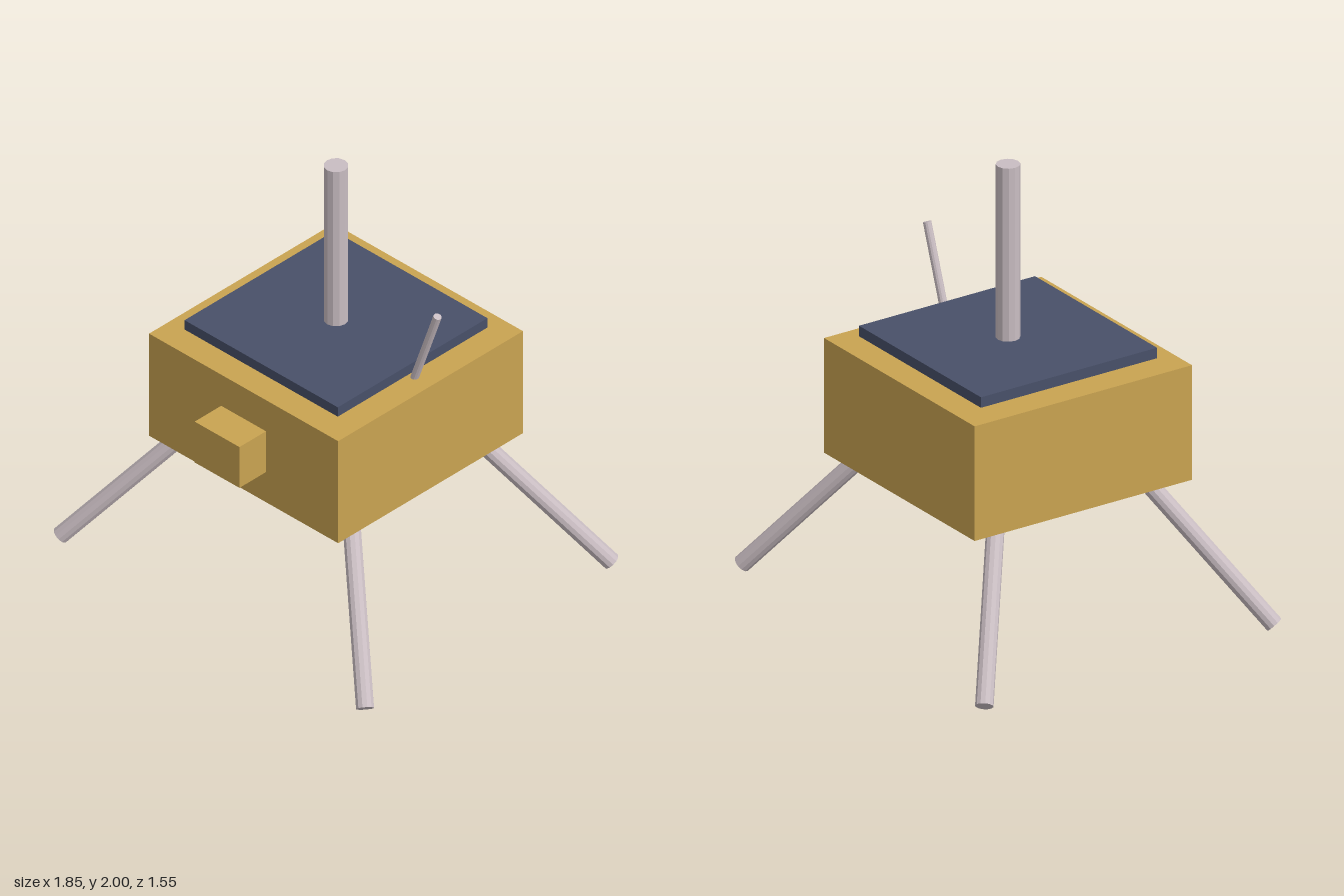
import * as THREE from 'three';

const gold = new THREE.MeshStandardMaterial({ name: 'gold foil', color: 0xc9a351, flatShading: true });
const navy = new THREE.MeshStandardMaterial({ name: 'navy panel', color: 0x485069, flatShading: true });
const metal = new THREE.MeshStandardMaterial({ name: 'pale metal', color: 0xc9bdc2, flatShading: true });

function box(name, material, size, position) {
  const mesh = new THREE.Mesh(new THREE.BoxGeometry(...size), material);
  mesh.name = name;
  mesh.position.set(...position);
  return mesh;
}

// Straight rod between two points
function rod(name, from, to, radius, sides = 12) {
  const a = new THREE.Vector3(...from);
  const b = new THREE.Vector3(...to);
  const axis = b.clone().sub(a);
  const mesh = new THREE.Mesh(new THREE.CylinderGeometry(radius, radius, axis.length(), sides), metal);
  mesh.name = name;
  mesh.position.copy(a).add(b).multiplyScalar(0.5);
  mesh.quaternion.setFromUnitVectors(new THREE.Vector3(0, 1, 0), axis.normalize());
  return mesh;
}

export function createModel() {
  const model = new THREE.Group();
  model.name = 'lander';

  // Body, front instrument box and raised top panel
  model.add(box('body', gold, [1.106, 0.525, 1.106], [0, 0.8775, 0]));
  model.add(box('instrumentBox', gold, [0.262, 0.21, 0.17], [0, 0.875, 0.627]));
  model.add(box('topPanel', navy, [0.896, 0.048, 0.896], [0, 1.184, 0]));

  // Mast and slanted antenna
  model.add(rod('mast', [0, 1.2, 0], [0, 2, 0], 0.052));
  model.add(rod('antenna', [0.453, 1.12, 0], [0.594, 1.518, 0], 0.018));

  // Four splayed legs
  for (const [side, sx] of [['Left', 1], ['Right', -1]]) {
    for (const [end, sz] of [['front', 1], ['back', -1]]) {
      model.add(rod(`${end}${side}Leg`, [sx * 0.891, 0.029, sz * 0.738], [sx * 0.444, 0.645, sz * 0.368], 0.039));
    }
  }
  return model;
}
